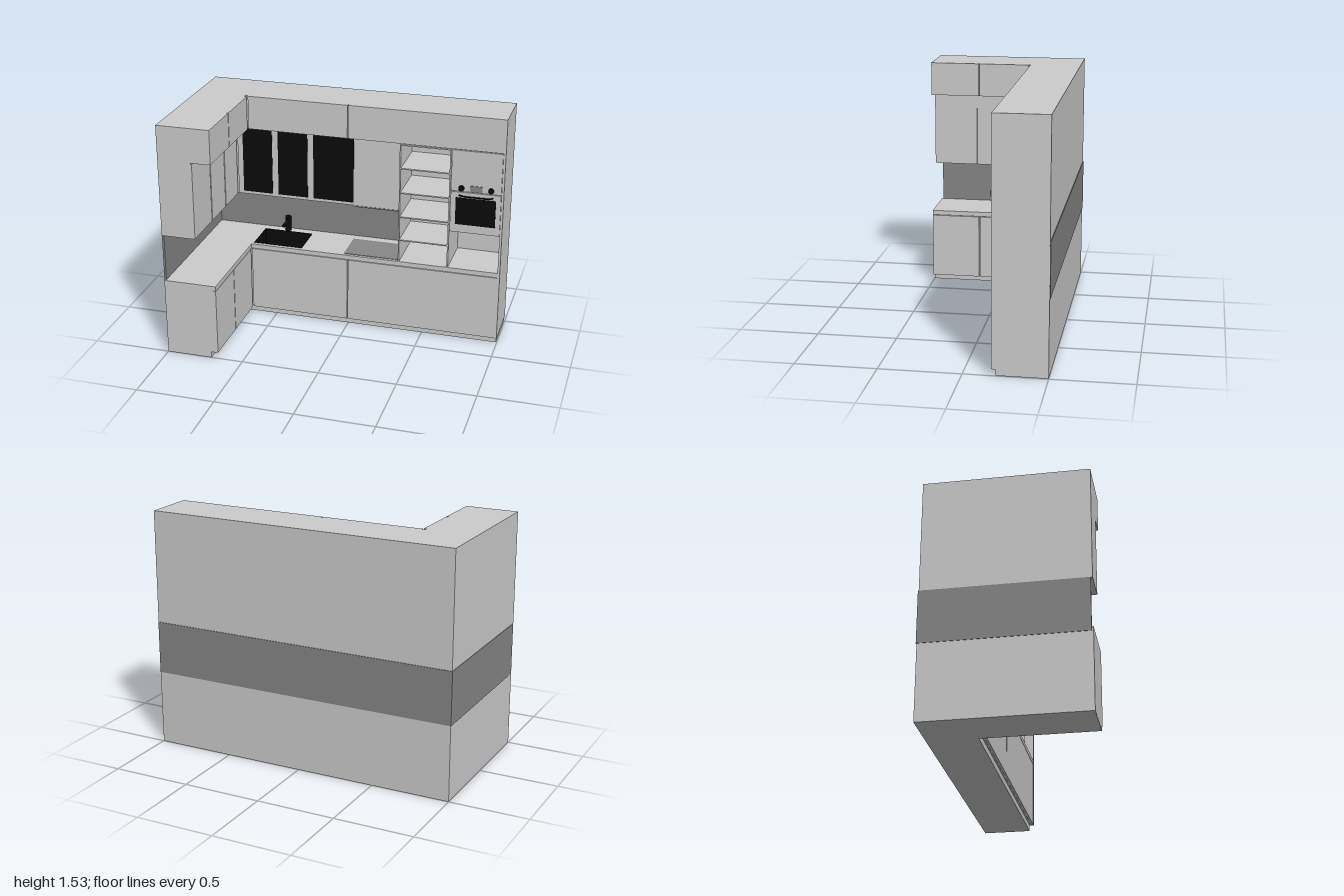
import * as THREE from 'three';

const paint = (color, side = THREE.FrontSide) => new THREE.MeshStandardMaterial({ color, side });

export function createModel() {
  const root = new THREE.Group();
  const grey = paint(0xcccccc);
  const black = paint(0x0b0b0b);
  const splash = paint(0x868686);
  const steel = paint(0x888888);

  function add(name, geometry, material = grey) {
    const mesh = new THREE.Mesh(geometry, material);
    mesh.name = name;
    root.add(mesh);
    return mesh;
  }
  // Box given by its limits on each axis
  function box(name, x0, x1, y0, y1, z0, z1, material) {
    const g = new THREE.BoxGeometry(x1 - x0, y1 - y0, z1 - z0);
    g.translate((x0 + x1) / 2, (y0 + y1) / 2, (z0 + z1) / 2);
    return add(name, g, material);
  }
  // L-shaped slab: left run reaches innerX, back run reaches innerZ and endX
  function corner(name, innerX, innerZ, endX, y0, y1, hole) {
    const s = new THREE.Shape([[-1, -0.5], [endX, -0.5], [endX, innerZ], [innerX, innerZ], [innerX, 0.5], [-1, 0.5]]
      .map(([x, z]) => new THREE.Vector2(x, z)));
    if (hole) {
      const [a, b, c, d] = hole;
      s.holes.push(new THREE.Path([[a, c], [a, d], [b, d], [b, c]].map(([x, z]) => new THREE.Vector2(x, z))));
    }
    const g = new THREE.ExtrudeGeometry(s, { depth: y1 - y0, bevelEnabled: false });
    g.rotateX(Math.PI / 2).translate(0, y1, 0);
    return add(name, g);
  }

  // Base cabinets, with an opening for the sink
  const sink = [-0.65, -0.32, -0.43, -0.195];
  corner('plinth', -0.705, -0.195, 0.995, 0, 0.04);
  corner('baseCabinet', -0.675, -0.185, 0.985, 0.04, 0.38);
  corner('baseCabinetTop', -0.675, -0.185, 0.985, 0.38, 0.475, sink);
  corner('worktop', -0.66, -0.17, 0.985, 0.475, 0.505, sink);

  // Doors of the base and the top cabinets
  for (const [label, y0, y1] of [['base', 0.042, 0.471], ['top', 1.312, 1.53]]) {
    box(label + 'Door', -0.657, -0.003, y0, y1, -0.185, -0.17);
    box(label + 'Door', 0.003, 0.985, y0, y1, -0.185, -0.17);
    box(label + 'SideDoor', -0.675, -0.66, y0, y1, -0.158, 0.172);
    box(label + 'SideDoor', -0.675, -0.66, y0, y1, 0.178, 0.5);
  }

  // Sink lining and rim
  const [sx0, sx1, sz0, sz1] = sink;
  const t = 0.006;
  box('sinkBottom', sx0, sx1, 0.38, 0.39, sz0, sz1, black);
  for (const x of [sx0, sx1 - t]) box('sinkSide', x, x + t, 0.385, 0.508, sz0, sz1, black);
  for (const z of [sz0, sz1 - t]) box('sinkWall', sx0, sx1, 0.385, 0.508, z, z + t, black);

  // Tap
  const post = new THREE.CylinderGeometry(0.02, 0.02, 0.1, 20);
  add('tapPost', post, black).position.set(-0.495, 0.555, -0.455);
  const spout = new THREE.CylinderGeometry(0.012, 0.012, 0.1, 16).rotateX(Math.PI / 2);
  add('tapSpout', spout, black).position.set(-0.495, 0.575, -0.405);
  box('tapLever', -0.503, -0.487, 0.598, 0.606, -0.47, -0.42, black);

  // Hob and extractor
  box('hob', -0.03, 0.335, 0.503, 0.508, -0.43, -0.19, steel);
  box('extractor', 0.01, 0.335, 0.803, 0.812, -0.48, -0.285, steel);

  // Splashback on both walls
  box('backSplash', -1.003, 0.999, 0.478, 0.812, -0.504, -0.49, splash);
  box('sideSplash', -1.003, -0.99, 0.478, 0.812, -0.504, 0.49, splash);

  // Wall cabinets
  corner('wallCabinet', -0.79, -0.29, 0.34, 0.812, 1.31);
  const sideDoors = [[-0.268, -0.045], [-0.035, 0.2], [0.21, 0.5]];
  for (const [z0, z1] of sideDoors) box('wallSideDoor', -0.79, -0.78, 0.815, 1.302, z0, z1);
  box('wallFront', -0.776, 0.34, 0.815, 1.305, -0.29, -0.28);
  for (const [x0, x1] of [[-0.74, -0.54], [-0.5, -0.3], [-0.26, 0.01]])
    box('glassDoor', x0, x1, 0.835, 1.3, -0.282, -0.277, black);

  // Top cabinets, full depth
  corner('topCabinet', -0.675, -0.185, 0.985, 1.31, 1.53);

  // Tall unit panels
  box('sidePanel', 0.985, 1, 0.04, 1.53, -0.5, -0.168);
  box('tallBack', 0.335, 0.99, 0.5, 1.31, -0.5, -0.485);
  box('shelfSide', 0.336, 0.344, 0.485, 1.31, -0.49, -0.17);
  box('shelfSide', 0.655, 0.664, 0.485, 1.31, -0.49, -0.17);

  // Open shelves
  for (const y of [0.655, 0.815, 0.98, 1.145, 1.303])
    box('shelf', 0.342, 0.657, y - 0.004, y + 0.004, -0.49, -0.172);

  // Oven housing above the open niche
  box('ovenHousing', 0.664, 0.985, 0.76, 1.31, -0.49, -0.18);
  box('ovenFront', 0.667, 0.983, 0.76, 1.032, -0.18, -0.17);
  box('upperPanel', 0.667, 0.983, 1.037, 1.307, -0.18, -0.17);
  box('ovenGlass', 0.7, 0.953, 0.815, 0.995, -0.172, -0.166, black);
  box('ovenDisplay', 0.787, 0.865, 1.042, 1.08, -0.172, -0.166, steel);

  // Oven handle and knobs
  const path = new THREE.CatmullRomCurve3([[0.72, -0.17], [0.745, -0.157], [0.827, -0.154], [0.908, -0.157], [0.933, -0.17]]
    .map(([x, z]) => new THREE.Vector3(x, 1.01, z)));
  add('ovenHandle', new THREE.TubeGeometry(path, 24, 0.005, 8), black);
  for (const x of [0.733, 0.92]) {
    const knob = new THREE.CylinderGeometry(0.017, 0.018, 0.016, 24).rotateX(Math.PI / 2);
    add('ovenKnob', knob, black).position.set(x, 1.06, -0.162);
  }
  return root;
}
